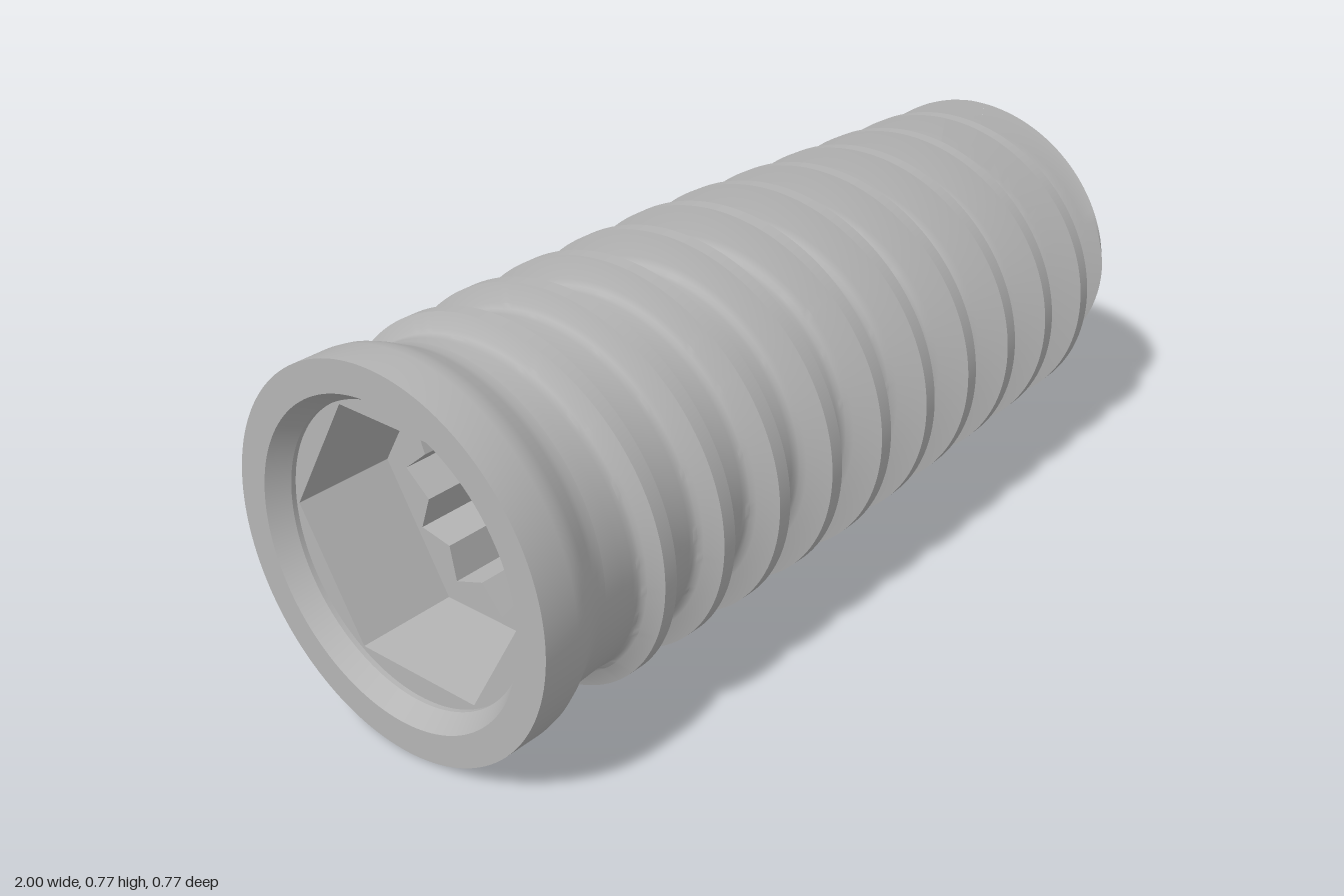
import * as THREE from 'three';
import { toCreasedNormals } from 'three/addons/utils/BufferGeometryUtils.js';

const PITCH = 0.158, CREST_X = -0.735;          // thread lead and crest position at the top
const BODY_START = -0.82, BODY_END = 0.93;
const TIP_R = 0.436, TIP_X = 0.564;             // sphere that rounds off the tip

// thread cross-section: distance from crest centre, relative height
const THREAD = [[0, 1], [0.015, 1], [0.028, 0.27], [0.034, 0.09], [0.042, 0.02], [0.052, 0], [PITCH / 2, 0]];

function threadHeight(d) {
  for (let i = 1; i < THREAD.length; i++) {
    const [d0, h0] = THREAD[i - 1], [d1, h1] = THREAD[i];
    if (d <= d1) return h0 + (h1 - h0) * (d - d0) / (d1 - d0);
  }
  return 0;
}

// radius of the tapered, threaded body at axial position x and angle t
function bodyRadius(x, t) {
  const core = 0.347 - 0.061 * (x - BODY_START);
  const crest = 0.383 - 0.0405 * Math.max(0, x + 0.05);
  const q = (x - CREST_X) / PITCH - t / (2 * Math.PI);
  const turn = Math.round(q);
  const runIn = THREE.MathUtils.smoothstep(turn + t / (2 * Math.PI), -0.4, 0);
  const r = core + (crest - core) * runIn * threadHeight(Math.abs(q - turn) * PITCH);
  return Math.min(r, Math.sqrt(TIP_R ** 2 - Math.max(0, x - TIP_X) ** 2));
}

// grid whose rows follow the helix, so the crest edges stay crisp
function threadedBody() {
  const rows = [];
  for (let k = -2; k <= 11; k++) {
    for (const [d] of THREAD) {
      rows.push(CREST_X + k * PITCH + d);
      if (d > 0 && d < PITCH / 2) rows.push(CREST_X + k * PITCH - d);
    }
  }
  for (let x = 0.64; x < BODY_END; x += 0.005) rows.push(x);  // finer where the tip cuts the thread
  rows.sort((a, b) => a - b);
  const cols = 144, n = rows.length, pos = [], index = [];
  for (let j = 0; j <= cols; j++) {
    const t = (j / cols) * Math.PI * 2;
    for (const s of rows) {
      const x = THREE.MathUtils.clamp(s + PITCH * j / cols, BODY_START, BODY_END);
      const r = bodyRadius(x, j === cols ? 0 : t);
      pos.push(x, r * Math.cos(t), r * Math.sin(t));
    }
  }
  for (let j = 0; j < cols; j++) {
    for (let i = 0; i < n - 1; i++) {
      const a = j * n + i, b = a + n;
      if (pos[3 * (a + 1)] === pos[3 * a] && pos[3 * (b + 1)] === pos[3 * b]) continue;
      index.push(a, b, a + 1, b, b + 1, a + 1);
    }
  }
  const g = new THREE.BufferGeometry();
  g.setAttribute('position', new THREE.Float32BufferAttribute(pos, 3));
  g.setIndex(index);
  return toCreasedNormals(g, 0.7);
}

// turned part along x from [x, radius] pairs
function turned(points, crease = 0.5) {
  const g = new THREE.LatheGeometry(points.map(([x, r]) => new THREE.Vector2(r, x)), 144);
  g.rotateZ(-Math.PI / 2);
  return toCreasedNormals(g, crease);
}

// round plug along x with a polygonal or toothed hole through it
function socketRing(outer, holeRadii, count, x0, x1) {
  const shape = new THREE.Shape().absarc(0, 0, outer, 0, Math.PI * 2);
  const hole = [];
  for (let i = 0; i < count; i++) {
    const a = (i / count) * Math.PI * 2, r = holeRadii[i % holeRadii.length];
    hole.push(new THREE.Vector2(r * Math.cos(a), r * Math.sin(a)));
  }
  shape.holes.push(new THREE.Path(hole));
  const g = new THREE.ExtrudeGeometry(shape, { depth: x1 - x0, bevelEnabled: false, curveSegments: 48 });
  g.rotateY(Math.PI / 2);
  g.translate(x0, 0, 0);
  return g;
}

export function createModel() {
  const model = new THREE.Group();
  model.name = 'threadedFixture';
  const metal = new THREE.MeshStandardMaterial({ color: 0xb4b4b4 });
  metal.name = 'grey metal';

  const add = (name, geometry) => {
    const mesh = new THREE.Mesh(geometry, metal);
    mesh.name = name;
    mesh.position.y = 0.383;
    model.add(mesh);
  };

  add('threadedBody', threadedBody());

  // domed end, continuing the sphere that trims the thread
  const dome = [];
  const rim = Math.acos((BODY_END - TIP_X) / TIP_R);
  for (let i = 0; i <= 16; i++) {
    const a = rim * (1 - i / 16);
    dome.push([TIP_X + TIP_R * Math.cos(a), TIP_R * Math.sin(a)]);
  }
  add('domedTip', turned(dome));

  // collar: inner chamfer, flat rim, outer band and neck
  add('collar', turned([
    [-0.94, 0.295], [-0.96, 0.295], [-1, 0.32], [-1, 0.383], [-0.925, 0.383],
    [-0.905, 0.38], [-0.885, 0.372], [-0.855, 0.356], [-0.838, 0.349], [BODY_START, 0.347],
  ]));

  // stepped socket: hexagon, toothed ring, floor
  add('hexSocket', socketRing(0.3, [0.288], 6, -0.95, -0.74));
  add('toothedSocket', socketRing(0.29, [0.235, 0.185], 24, -0.74, -0.5));
  const floor = new THREE.CircleGeometry(0.26, 48);
  floor.rotateY(-Math.PI / 2);
  floor.translate(-0.505, 0, 0);
  add('socketFloor', floor);

  return model;
}
